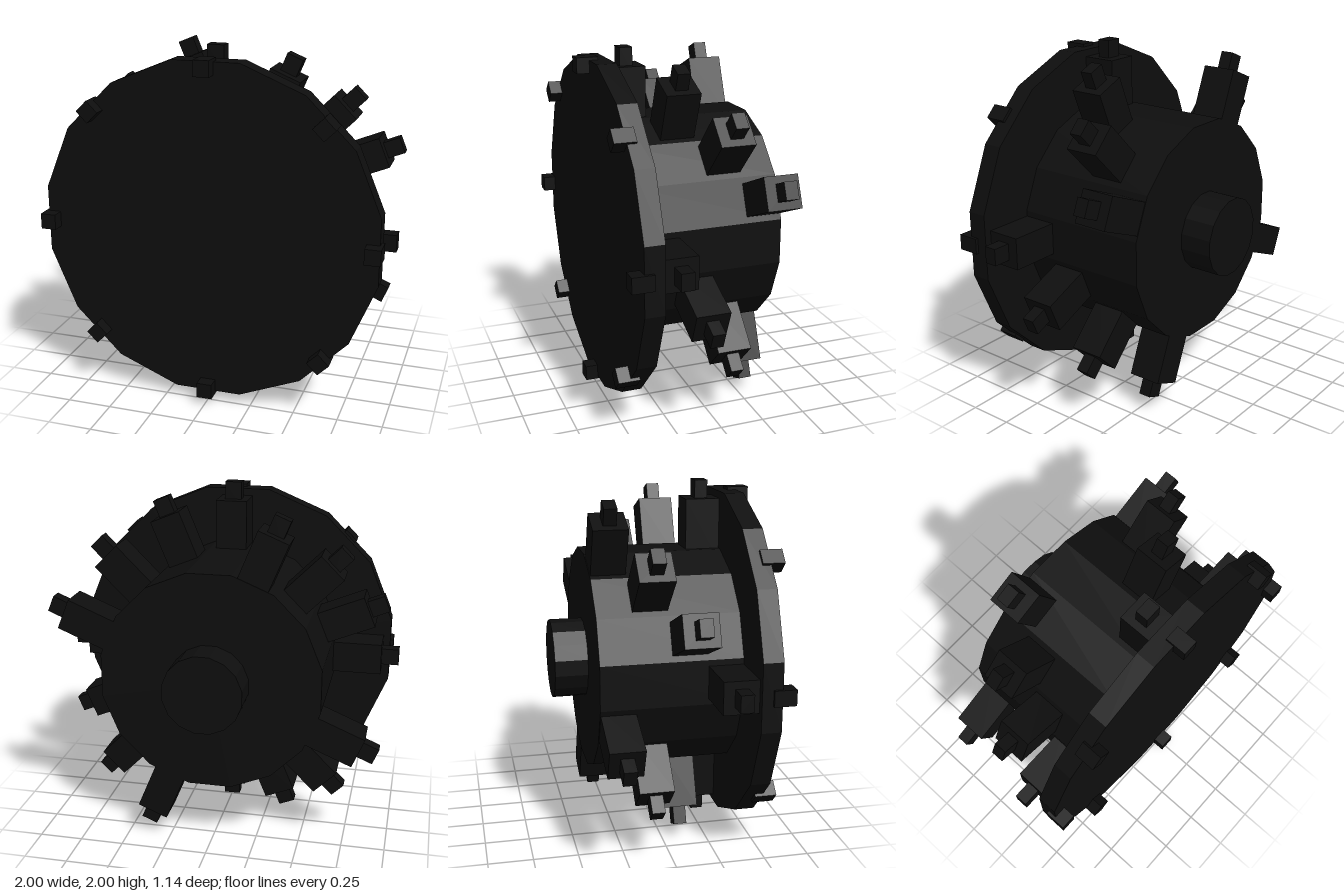
import * as THREE from 'three';

export function createModel() {
  const model = new THREE.Group();
  model.name = 'cutterHead';
  const steel = new THREE.MeshStandardMaterial({ color: 0x0e0e0e, flatShading: true });
  steel.name = 'black steel';

  // Everything is laid out around the z axis, then lifted to stand on y = 0
  const head = new THREE.Group();
  head.name = 'head';
  head.position.y = 1;
  model.add(head);

  // 16-sided drum with flats at top, bottom and sides; apothem = distance to a flat
  const drum = (name, apothem, z0, z1) => {
    const geo = new THREE.CylinderGeometry(1, 1, z1 - z0, 16);
    const r = apothem / Math.cos(Math.PI / 16);
    geo.scale(r, 1, r);
    geo.rotateY(Math.PI / 16);
    geo.rotateX(Math.PI / 2);
    const mesh = new THREE.Mesh(geo, steel);
    mesh.name = name;
    mesh.position.z = (z0 + z1) / 2;
    head.add(mesh);
  };
  drum('frontDisc', 0.94, 0.39, 0.5);
  drum('core', 0.62, -0.385, 0.4);
  drum('shaft', 0.22, -0.57, -0.38);

  // Box spanning radii r0..r1 along +x of its parent
  const block = (parent, name, r0, r1, width, z0, z1) => {
    const mesh = new THREE.Mesh(new THREE.BoxGeometry(r1 - r0, width, z1 - z0), steel);
    mesh.name = name;
    mesh.position.set((r0 + r1) / 2, 0, (z0 + z1) / 2);
    parent.add(mesh);
  };
  const spoke = (name, angle) => {
    const g = new THREE.Group();
    g.name = name;
    g.rotation.z = angle;
    head.add(g);
    return g;
  };

  // Four rings of four lugs, each ring turned a sixteenth further, with a tooth on each lug
  [0.295, 0.1, -0.095, -0.285].forEach((z, ring) => {
    for (let i = 0; i < 4; i++) {
      const g = spoke('lugWithTooth', i * Math.PI / 2 - ring * Math.PI / 8);
      block(g, 'lug', 0.55, 0.9, 0.18, z - 0.096, z + 0.096);
      block(g, 'tooth', 0.86, 1, 0.095, z - 0.036, z + 0.036);
    }
  });

  // Eight forward teeth near the rim of the disc
  for (let i = 0; i < 8; i++) {
    block(spoke('rimTooth', i * Math.PI / 4), 'frontTooth', 0.87, 0.957, 0.087, 0.45, 0.57);
  }
  return model;
}
